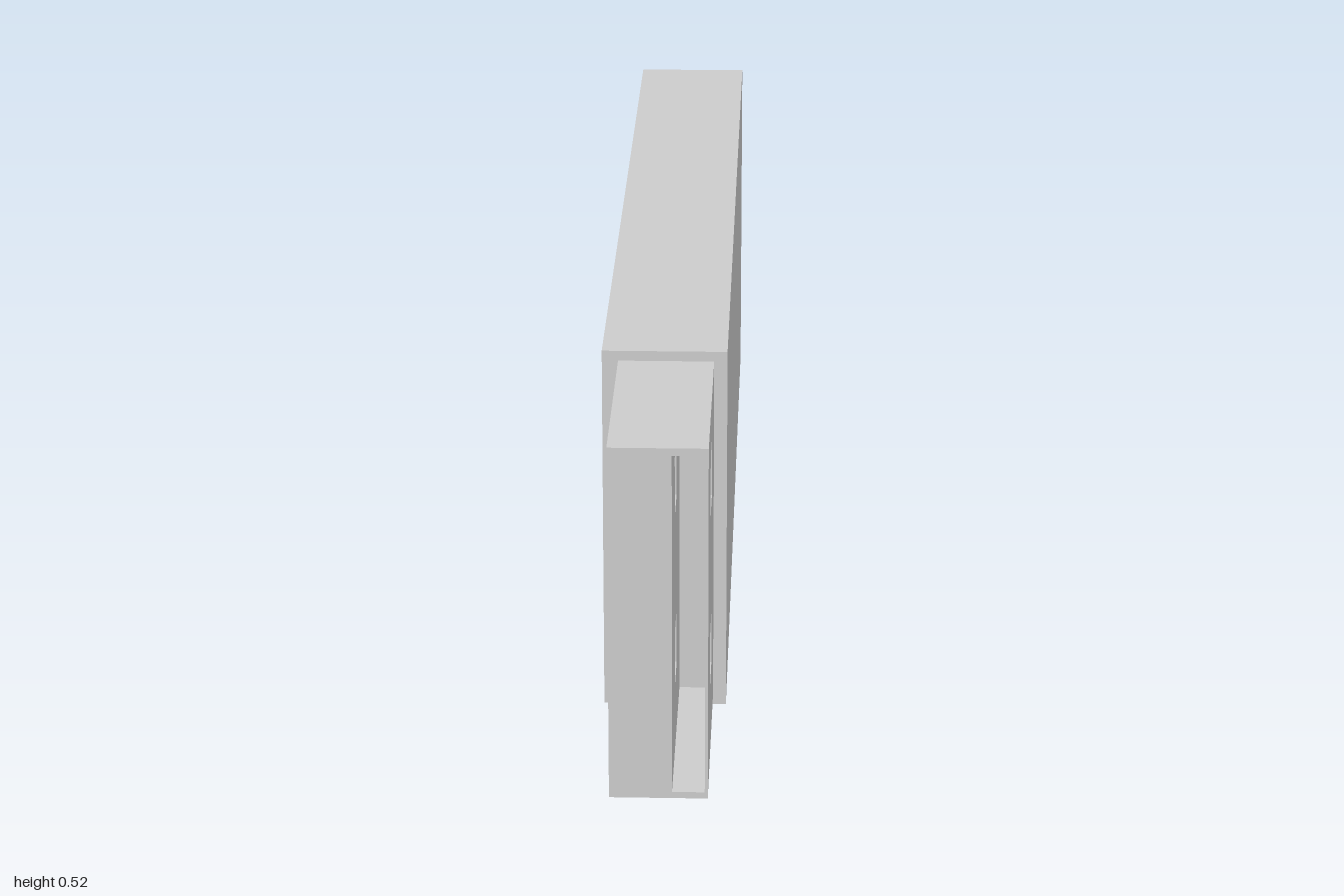
import * as THREE from 'three';

const material = new THREE.MeshStandardMaterial({ color: 0xcccccc, flatShading: true });

function addMesh(parent, name, geometry, x = 0, y = 0, z = 0) {
  const mesh = new THREE.Mesh(geometry, material);
  mesh.name = name;
  mesh.position.set(x, y, z);
  parent.add(mesh);
  return mesh;
}

// Closed rectangle path in the side plane
function rect(path, x0, x1, y0, y1) {
  path.moveTo(x0, y0);
  path.lineTo(x1, y0);
  path.lineTo(x1, y1);
  path.lineTo(x0, y1);
  path.closePath();
  return path;
}

const PLUG = { front: 1, back: 0.68, bottom: 0.016, top: 0.51 };

// Side plate of the plug, pierced by the two square windows
function piercedPlate(thickness) {
  const shape = rect(new THREE.Shape(), -PLUG.front, -PLUG.back, PLUG.bottom, PLUG.top);
  for (const [y0, y1] of [[0.12, 0.2], [0.365, 0.45]]) {
    shape.holes.push(rect(new THREE.Path(), -0.88, -0.8, y0, y1));
  }
  const geometry = new THREE.ExtrudeGeometry(shape, { depth: thickness, bevelEnabled: false });
  return geometry.rotateY(Math.PI / 2); // thickness runs along x
}

// Half ring with an oval section, slightly thicker at its far end
function loopGeometry() {
  const R = 0.2, r = 0.05;
  const geometry = new THREE.TorusGeometry(R, r, 12, 20, Math.PI);
  const p = geometry.attributes.position;
  for (let i = 0; i < p.count; i++) {
    const s = (Math.hypot(p.getX(i), p.getY(i)) - R) / r;
    const angle = Math.atan2(p.getY(i), p.getX(i)) - Math.PI / 2;
    p.setXYZ(i,
      (0.214 + 0.056 * s) * Math.cos(angle),
      (0.2 + 0.048 * s) * Math.sin(angle),
      p.getZ(i) * 1.48);
  }
  geometry.rotateY(Math.PI / 2);
  geometry.computeVertexNormals();
  return geometry;
}

export function createModel() {
  const model = new THREE.Group();
  model.name = 'memoryStick';

  // Main case
  addMesh(model, 'case', new THREE.BoxGeometry(0.17, 0.524, 1.41), 0, 0.262, -0.025);

  // Plug: solid tongue, thin cover and the slot between them
  const plug = new THREE.Group();
  plug.name = 'plug';
  addMesh(plug, 'plugTongue', piercedPlate(0.083), -0.063);
  addMesh(plug, 'plugCover', piercedPlate(0.004), 0.063);
  const length = PLUG.front - PLUG.back;
  for (const [name, y0, y1] of [['slotFloor', PLUG.bottom, 0.025], ['slotRoof', 0.5, PLUG.top]]) {
    addMesh(plug, name, new THREE.BoxGeometry(0.043, y1 - y0, length),
      0.0415, (y0 + y1) / 2, PLUG.back + length / 2);
  }
  model.add(plug);

  // Key loop at the back
  addMesh(model, 'keyLoop', loopGeometry(), -0.004, 0.262, -0.73);

  return model;
}
